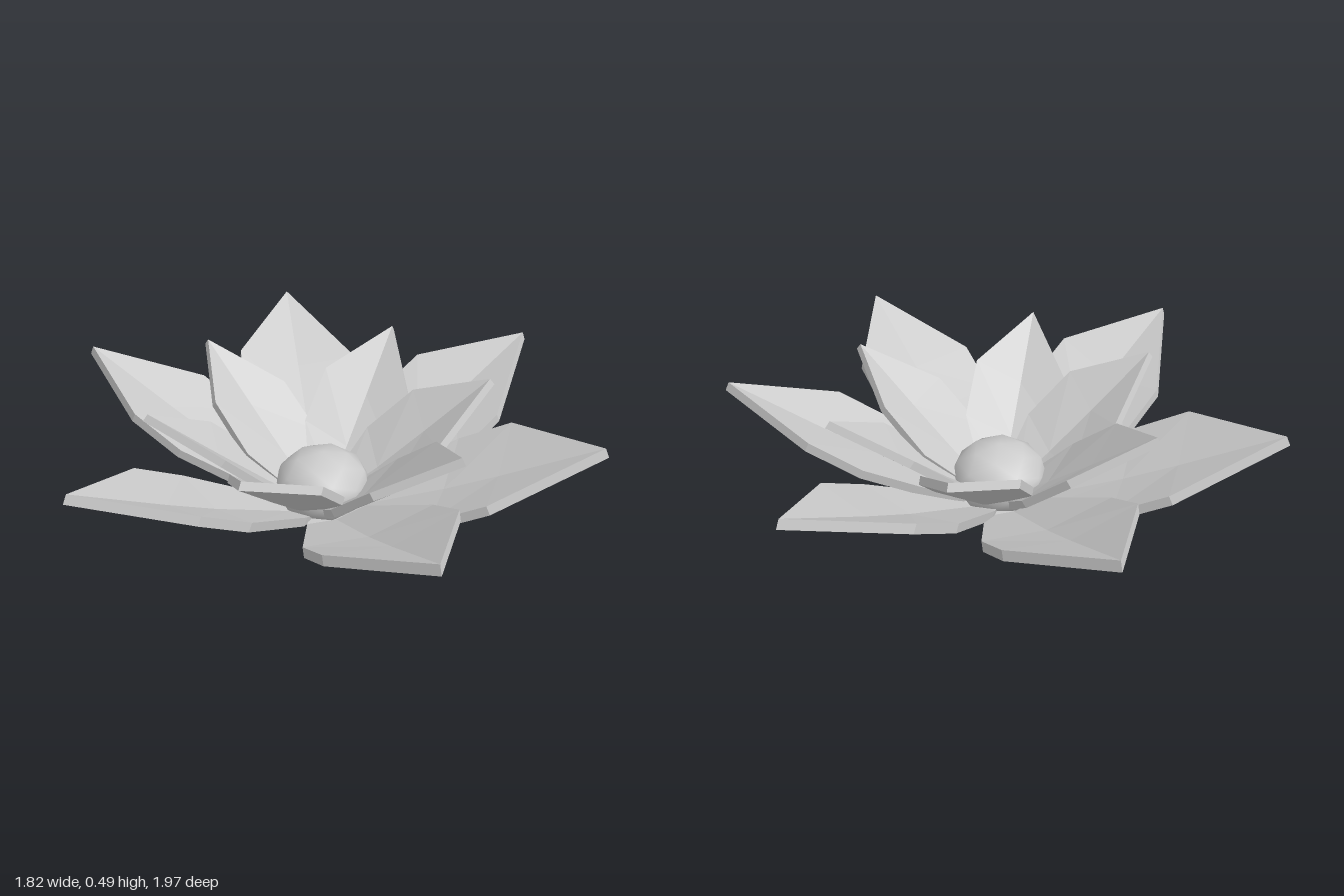
import * as THREE from 'three';

// Petal rows from base to tip: [distance out, half width, keel height, edge lift]
const OUTER = [[-0.02, 0.025, 0.055, 0], [0.15, 0.11, 0.065, 0.02], [0.46, 0.23, 0.195, 0.045], [0.65, 0.23, 0.285, 0.055], [1, 0, 0.46, 0]];
const INNER = [[-0.02, 0.025, 0.06, 0], [0.07, 0.09, 0.08, 0.02], [0.21, 0.175, 0.175, 0.045], [0.385, 0.172, 0.31, 0.055], [0.625, 0, 0.5, 0]];

// Thick cupped petal pointing along +z, rolled so that its +x edge is higher
function petalGeometry(rows, tilt, thickness, roll) {
  const top = rows.map(([z, w, y, lift]) => [-1, 0, 1].map((s) =>
    new THREE.Vector3(s * w, y + (s ? lift : 0) + s * w * roll, z)));
  const offset = new THREE.Vector3(0, -Math.cos(tilt), Math.sin(tilt)).multiplyScalar(thickness);
  const under = top.map((row) => row.map((p) => p.clone().add(offset)));
  const pos = [];
  const tri = (a, b, c) => {
    if (a.distanceTo(b) < 1e-6 || b.distanceTo(c) < 1e-6 || c.distanceTo(a) < 1e-6) return;
    for (const p of [a, b, c]) pos.push(p.x, p.y, p.z);
  };
  const quad = (a, b, c, d) => { tri(a, b, c); tri(a, c, d); };
  for (let i = 0; i < rows.length - 1; i++) {
    const t = top[i], t2 = top[i + 1], u = under[i], u2 = under[i + 1];
    for (let j = 0; j < 2; j++) {
      quad(t[j], t2[j], t2[j + 1], t[j + 1]);
      quad(u[j], u[j + 1], u2[j + 1], u2[j]);
    }
    // rim on both sides
    quad(t[0], u[0], u2[0], t2[0]);
    quad(t[2], t2[2], u2[2], u[2]);
  }
  // blunt base end
  for (let j = 0; j < 2; j++) quad(top[0][j], top[0][j + 1], under[0][j + 1], under[0][j]);
  const geometry = new THREE.BufferGeometry();
  geometry.setAttribute('position', new THREE.Float32BufferAttribute(pos, 3));
  geometry.computeVertexNormals();
  return geometry;
}

// Ring of petals, each aimed at its tip position [x, z]
function petalRing(name, geometry, length, tips, material) {
  const ring = new THREE.Group();
  ring.name = name + 's';
  for (const [x, z] of tips) {
    const petal = new THREE.Mesh(geometry, material);
    petal.name = name;
    petal.rotation.y = Math.atan2(x, z);
    petal.scale.z = Math.hypot(x, z) / length;
    ring.add(petal);
  }
  return ring;
}

export function createModel() {
  const model = new THREE.Group();
  model.name = 'waterLily';
  const grey = new THREE.MeshStandardMaterial({ color: 0xcccccc });
  grey.name = 'light grey';

  // two layers of six petals
  model.add(petalRing('outerPetal', petalGeometry(OUTER, 0.42, 0.036, 0.13), 1.015,
    [[0.08, -0.99], [0.91, -0.38], [0.845, 0.51], [0.11, 0.98], [-0.91, 0.37], [-0.76, -0.65]], grey));
  model.add(petalRing('innerPetal', petalGeometry(INNER, 0.66, 0.03, 0.13), 0.64,
    [[-0.33, -0.53], [0.4, -0.48], [0.62, 0.03], [0.34, 0.52], [-0.38, 0.49], [-0.62, 0]], grey));

  // faceted centre
  const heart = new THREE.Mesh(new THREE.IcosahedronGeometry(0.175, 1), grey);
  heart.name = 'flowerCentre';
  heart.scale.y = 0.74;
  heart.position.y = 0.135;
  model.add(heart);
  return model;
}
